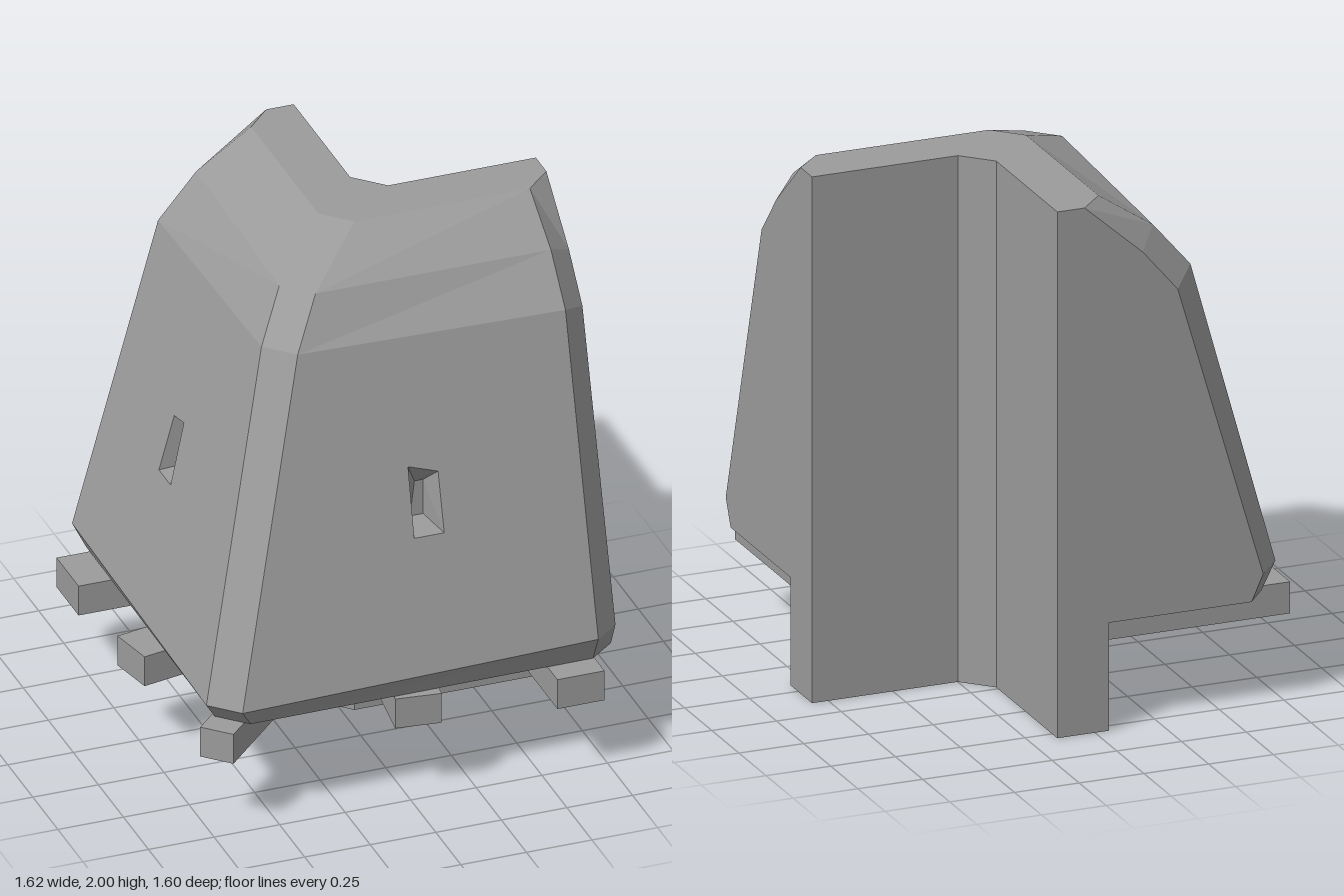
import * as THREE from 'three';

const material = new THREE.MeshStandardMaterial({ color: 0x9b9b9b, flatShading: true });

// reflection across the diagonal that swaps the front arm with the left arm
const mirror = ([x, y, z]) => [0.015 - z, y, 0.015 - x];

// collects convex faces, listed counter-clockwise from outside
function faceBuilder() {
  const positions = [];
  const add = (pts) => {
    for (let i = 1; i < pts.length - 1; i++) positions.push(...pts[0], ...pts[i], ...pts[i + 1]);
  };
  const addMirrored = (pts) => add(pts.map(mirror).reverse());
  const mesh = (name) => {
    const g = new THREE.BufferGeometry();
    g.setAttribute('position', new THREE.Float32BufferAttribute(positions, 3));
    g.computeVertexNormals();
    const m = new THREE.Mesh(g, material);
    m.name = name;
    return m;
  };
  return { add, addMirrored, mesh };
}

// profile rows, each as height and outward distance: corner, far edge, bevelled end
const levels = [
  [0.41, 0.71, 0.41, 0.7, 0.41, 0.62],
  [0.49, 0.76, 0.515, 0.753, 0.51, 0.665],
  [1.71, 0.42, 1.69, 0.425, 1.64, 0.335],
  [1.88, 0.31, 1.86, 0.28, 1.8, 0.2],
  [2, 0.07, 2, 0.07, 2, -0.025],
];
const endX = 0.813;
const corner = levels.map(([y, z]) => [0.115 - z, y, z]);
const far = levels.map(([, , y, z]) => [0.714, y, z]);
const end = levels.map(([, , , , y, z]) => [endX, y, z]);
const inner = [0.41, 2].map((y) => [endX, y, -0.13]);
const innerCorner = [0.41, 2].map((y) => [0.25, y, -0.13]);
const top = levels.length - 1;

// slit on the sloped face: mouth and smaller back opening, corners from lower left
const slopeZ = (y) => 0.76 - (y - 0.49) * (0.34 / 1.22);
const slit = (mouth, back) => ({
  mouth: mouth.map(([x, y]) => [x, y, slopeZ(y)]),
  back: back.map(([x, y]) => [x, y, 0.48]),
});
const frontSlit = slit(
  [[0.063, 0.99], [0.177, 0.99], [0.177, 1.21], [0.066, 1.245]],
  [[0.1, 1], [0.15, 1], [0.15, 1.14], [0.117, 1.14]],
);
const sideSlit = slit(
  [[0.073, 0.985], [0.19, 0.985], [0.19, 1.195], [0.105, 1.21]],
  [[0.135, 1], [0.18, 1], [0.18, 1.13], [0.14, 1.13]],
);

// sloped face with the slit cut out
function piercedFace(add, outline, mouth) {
  const hole = [...mouth].reverse();
  const flat = (pts) => pts.map(([x, y]) => new THREE.Vector2(x, y));
  const all = [...outline, ...hole];
  for (const tri of THREE.ShapeUtils.triangulateShape(flat(outline), [flat(hole)])) {
    add(tri.map((i) => all[i]));
  }
}

function createBody() {
  const body = new THREE.Group();
  body.name = 'overhangingBody';
  const shell = faceBuilder();
  const sides = [
    { method: 'add', name: 'frontSlit', cut: frontSlit },
    { method: 'addMirrored', name: 'sideSlit', cut: sideSlit },
  ];
  for (const { method, name, cut } of sides) {
    const add = shell[method];
    for (let i = 0; i < top; i++) {
      const strip = [corner[i], far[i], far[i + 1], corner[i + 1]];
      if (i === 1) piercedFace(add, strip, cut.mouth);
      else add(strip);
      add([end[i], end[i + 1], far[i + 1], far[i]]);
    }
    // end cap, inner wall, roof and underside
    add([end[0], inner[0], inner[1], end[4], end[3], end[2], end[1]]);
    add([inner[0], innerCorner[0], innerCorner[1], inner[1]]);
    add([corner[top], far[top], end[top], inner[1], innerCorner[1]]);
    add([corner[0], far[0], end[0], inner[0], innerCorner[0]].reverse());

    // tapered recess behind the slit
    const recess = faceBuilder();
    for (let i = 0; i < 4; i++) {
      const j = (i + 1) % 4;
      recess[method]([cut.mouth[i], cut.mouth[j], cut.back[j], cut.back[i]]);
    }
    recess[method](cut.back);
    body.add(recess.mesh(name));
  }
  // diagonal faces joining the two arms
  for (let i = 0; i < top; i++) {
    shell.add([mirror(corner[i]), corner[i], corner[i + 1], mirror(corner[i + 1])]);
  }
  const [j0, j1] = innerCorner;
  shell.add([j0, mirror(j0), mirror(j1), j1]);
  shell.add([mirror(corner[top]), corner[top], j1, mirror(j1)]);
  shell.add([mirror(corner[0]), corner[0], j0, mirror(j0)].reverse());
  body.add(shell.mesh('bodyShell'));
  return body;
}

// L-shaped wall carrying the body
function createWall() {
  const half = [[0.045, 0.07], [endX, 0.07], [endX, -0.13], [0.25, -0.13]];
  const other = half.map(([x, z]) => [0.015 - z, 0.015 - x]).reverse();
  const shape = new THREE.Shape([...half, ...other].map(([x, z]) => new THREE.Vector2(x, -z)));
  const g = new THREE.ExtrudeGeometry(shape, { depth: 0.41, bevelEnabled: false });
  g.rotateX(-Math.PI / 2);
  const wall = new THREE.Mesh(g, material);
  wall.name = 'lowerWall';
  return wall;
}

// support beam placed by the centre of its outer end
function createBeam(x, z, angle, width, length) {
  const g = new THREE.BoxGeometry(width, 0.12, length);
  g.translate(0, 0, -length / 2);
  const beam = new THREE.Mesh(g, material);
  beam.position.set(x, 0.35, z);
  beam.rotation.y = angle;
  beam.name = 'supportBeam';
  return beam;
}

export function createModel() {
  const model = new THREE.Group();
  model.name = 'cornerTurret';
  model.add(createBody(), createWall());
  const beams = [
    [0.63, 0.8, 0, 0.18, 0.75],
    [0.035, 0.735, -0.12, 0.17, 0.7],
    [-0.725, 0.712, -Math.PI / 4, 0.13, 1.05],
    [-0.793, 0.033, -1.37, 0.18, 0.78],
    [-0.812, -0.55, -Math.PI / 2, 0.22, 0.8],
  ];
  for (const b of beams) model.add(createBeam(...b));
  return model;
}
